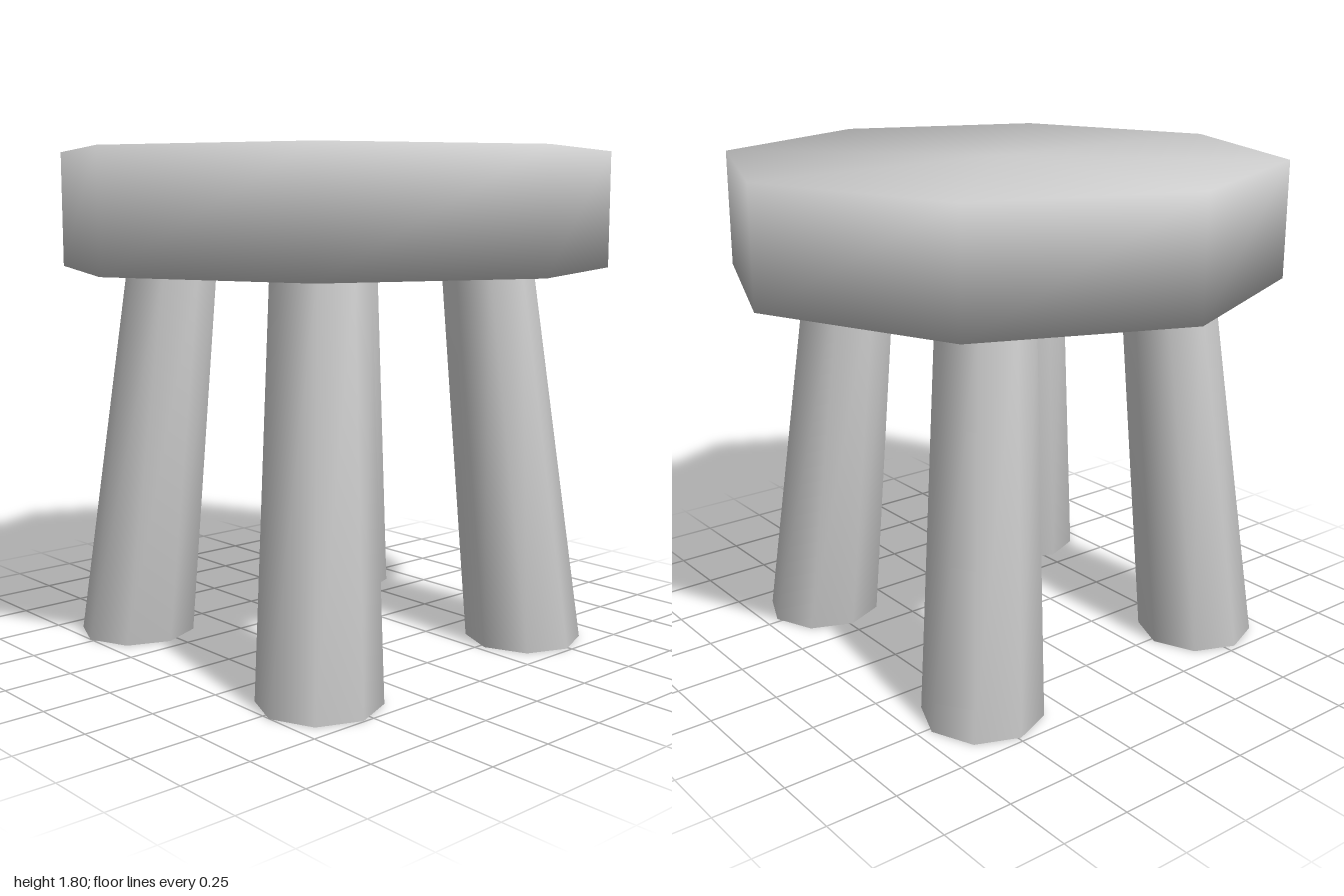
import * as THREE from 'three';
import { mergeVertices } from 'three/addons/utils/BufferGeometryUtils.js';

const material = new THREE.MeshStandardMaterial({ color: 0xcccccc });
const SIDES = 8;
const SEAT_BOTTOM = 1.382, SEAT_TOP = 1.797;

// Eight-sided frustum from y0 to y1 with its corners on the x and z axes;
// corners are welded so the shading rolls smoothly over the rims.
function softPrism(topRadius, bottomRadius, y0, y1) {
  const geometry = new THREE.CylinderGeometry(topRadius, bottomRadius, y1 - y0, SIDES);
  geometry.translate(0, (y0 + y1) / 2, 0);
  geometry.deleteAttribute('normal');
  geometry.deleteAttribute('uv');
  const welded = mergeVertices(geometry, 1e-4);
  welded.computeVertexNormals();
  return welded;
}

// Tapered leg, sheared so it leans inward while both ends stay level
function leg(name, foot, top) {
  const geometry = softPrism(0.166, 0.2125, 0, SEAT_BOTTOM + 0.01);
  const p = geometry.attributes.position;
  for (let i = 0; i < p.count; i++) {
    const t = p.getY(i) / SEAT_BOTTOM;
    p.setX(i, p.getX(i) + THREE.MathUtils.lerp(foot[0], top[0], t));
    p.setZ(i, p.getZ(i) + THREE.MathUtils.lerp(foot[1], top[1], t));
  }
  geometry.computeVertexNormals();
  const mesh = new THREE.Mesh(geometry, material);
  mesh.name = name;
  return mesh;
}

export function createModel() {
  const stool = new THREE.Group();
  stool.name = 'stool';

  // Thick octagonal seat
  const seat = new THREE.Mesh(softPrism(1, 1, SEAT_BOTTOM, SEAT_TOP), material);
  seat.name = 'seat';
  stool.add(seat);

  // Four splayed legs, [x, z] at the foot and under the seat
  stool.add(
    leg('frontLeftLeg', [0.49, 0.522], [0.385, 0.411]),
    leg('frontRightLeg', [-0.539, 0.533], [-0.431, 0.418]),
    leg('backLeftLeg', [0.49, -0.518], [0.385, -0.408]),
    leg('backRightLeg', [-0.539, -0.518], [-0.431, -0.408]),
  );
  return stool;
}
